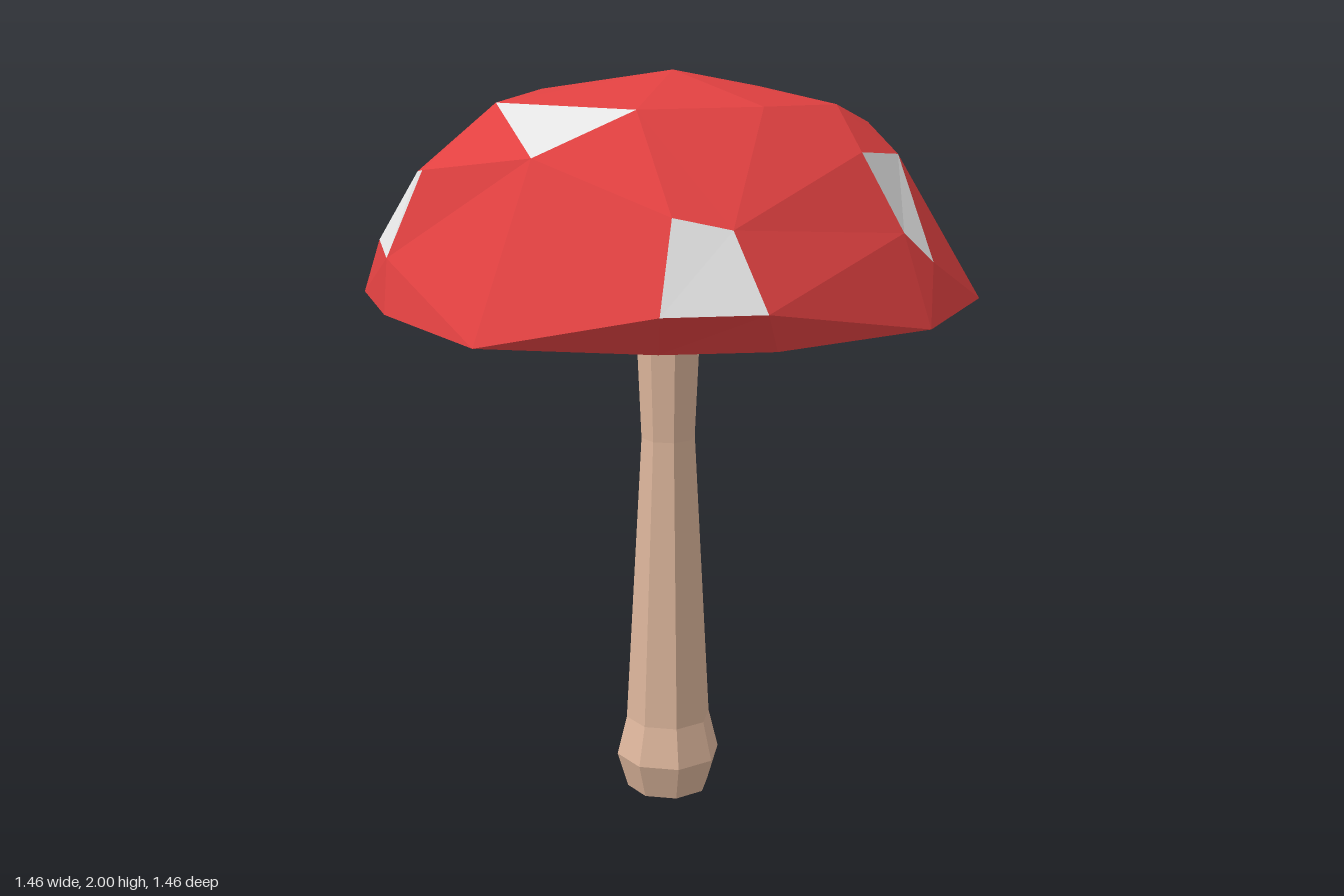
import * as THREE from 'three';
import { ConvexGeometry } from 'three/addons/geometries/ConvexGeometry.js';

const mat = (name, color, extra = {}) =>
  Object.assign(new THREE.MeshStandardMaterial({ color, flatShading: true, ...extra }), { name });

// Corners of the pale patches on the cap
const PATCHES = [
  [[-0.22, 1.93, 0.36], [0.23, 1.94, 0.28], [0.10, 1.83, 0.50]],
  [[-0.46, 1.74, 0.44], [-0.28, 1.77, 0.55], [-0.35, 1.545, 0.62], [-0.53, 1.56, 0.52]],
  [[0.48, 1.72, 0.39], [0.57, 1.69, 0.28], [0.69, 1.51, 0.28], [0.55, 1.51, 0.49]],
  [[0.54, 1.83, -0.18], [0.40, 1.79, -0.47], [0.67, 1.56, -0.31], [0.65, 1.64, -0.22]],
  [[-0.12, 1.93, -0.47], [-0.35, 1.93, -0.34], [-0.04, 2.0, -0.08]],
  [[-0.27, 1.58, -0.72], [-0.15, 1.65, -0.70], [-0.17, 1.77, -0.65], [-0.41, 1.77, -0.49]],
  [[-0.694, 1.44, -0.35], [-0.533, 1.84, -0.28], [-0.675, 1.63, 0.08]],
];

// Other facet corners of the dome
const DOME = [
  [0.38, 1.94, 0], [-0.45, 1.93, 0.03], [-0.59, 1.82, 0.06],
  [0.20, 1.85, -0.57], [0.25, 1.63, -0.69], [0.31, 1.92, -0.33],
];

// Rim outline (x, z), in order around the cap
const RIM_Y = 1.41;
const RIM = [
  [0.73, -0.24], [0.66, 0.22], [0.50, 0.45], [0.16, 0.73], [-0.31, 0.66], [-0.61, 0.52],
  [-0.73, 0.14], [-0.67, -0.33], [-0.61, -0.56], [-0.20, -0.73], [0.28, -0.73], [0.55, -0.64],
];

function meshFrom(name, triangles, material) {
  const geometry = new THREE.BufferGeometry().setFromPoints(triangles.flat());
  geometry.computeVertexNormals();
  const mesh = new THREE.Mesh(geometry, material);
  mesh.name = name;
  return mesh;
}

function createCap(red, pale) {
  // Each node has its position, its direction from the cap's middle and its patch
  const nodes = [];
  const add = ([x, y, z], patch) => nodes.push({
    pos: new THREE.Vector3(x, y, z), dir: new THREE.Vector3(x, y - 1.3, z).normalize(), patch,
  });
  PATCHES.forEach((corners, i) => corners.forEach((p) => add(p, i)));
  DOME.forEach((p) => add(p, -1));
  RIM.forEach(([x, z]) => nodes.push({
    pos: new THREE.Vector3(x, RIM_Y, z), dir: new THREE.Vector3(x, 0, z).normalize(), patch: -1,
  }));
  const pole = { dir: new THREE.Vector3(0, -1, 0), open: true };
  nodes.push(pole);

  // The hull of the directions gives the facets; those at the pole leave the cap open
  const hull = new ConvexGeometry(nodes.map((n) => n.dir)).getAttribute('position');
  const v = new THREE.Vector3();
  const nodeAt = (i) => {
    v.fromBufferAttribute(hull, i);
    return nodes.reduce((best, n) => (n.dir.distanceToSquared(v) < best.dir.distanceToSquared(v) ? n : best));
  };
  const inset = (p) => new THREE.Vector3(p.x * 0.925, 1.4 + (p.y - RIM_Y) * 0.91, p.z * 0.925);

  const outer = [], spots = [], inner = [], lip = [];
  for (let i = 0; i < hull.count; i += 3) {
    const tri = [nodeAt(i), nodeAt(i + 1), nodeAt(i + 2)];
    if (tri.some((n) => n.open)) continue;
    const [a, b, c] = tri.map((n) => n.pos);
    const isSpot = tri[0].patch >= 0 && tri.every((n) => n.patch === tri[0].patch);
    (isSpot ? spots : outer).push([a, b, c]);
    inner.push([inset(a), inset(c), inset(b)]);
  }

  // Underside lip joining the outer and inner shells
  RIM.forEach(([x, z], i) => {
    const [x2, z2] = RIM[(i + 1) % RIM.length];
    const a = new THREE.Vector3(x, RIM_Y, z), b = new THREE.Vector3(x2, RIM_Y, z2);
    lip.push([a, b, inset(b)], [a, inset(b), inset(a)]);
  });

  const cap = new THREE.Group();
  cap.name = 'cap';
  cap.add(
    meshFrom('capTop', outer, red), meshFrom('capPatches', spots, pale),
    meshFrom('capInside', inner, red), meshFrom('capLip', lip, red),
  );
  return cap;
}

function createStem(material) {
  // Flared foot, narrow waist and slightly wider neck
  const profile = [
    [0, 0], [0.115, 0], [0.145, 0.1], [0.118, 0.21], [0.074, 1.02], [0.092, 1.42], [0.10, 1.88], [0, 1.88],
  ].map(([r, y]) => new THREE.Vector2(r, y));
  const stem = new THREE.Mesh(new THREE.LatheGeometry(profile, 8, Math.PI / 12), material);
  stem.name = 'stem';
  stem.position.set(-0.028, 0, -0.055);
  return stem;
}

export function createModel() {
  const red = mat('capRed', 0xe14141, { side: THREE.DoubleSide });
  const pale = mat('patchWhite', 0xe3e3e3, { side: THREE.DoubleSide });
  const tan = mat('stemTan', 0xdcb59b);
  const model = new THREE.Group();
  model.name = 'mushroom';
  model.add(createCap(red, pale), createStem(tan));
  return model;
}
